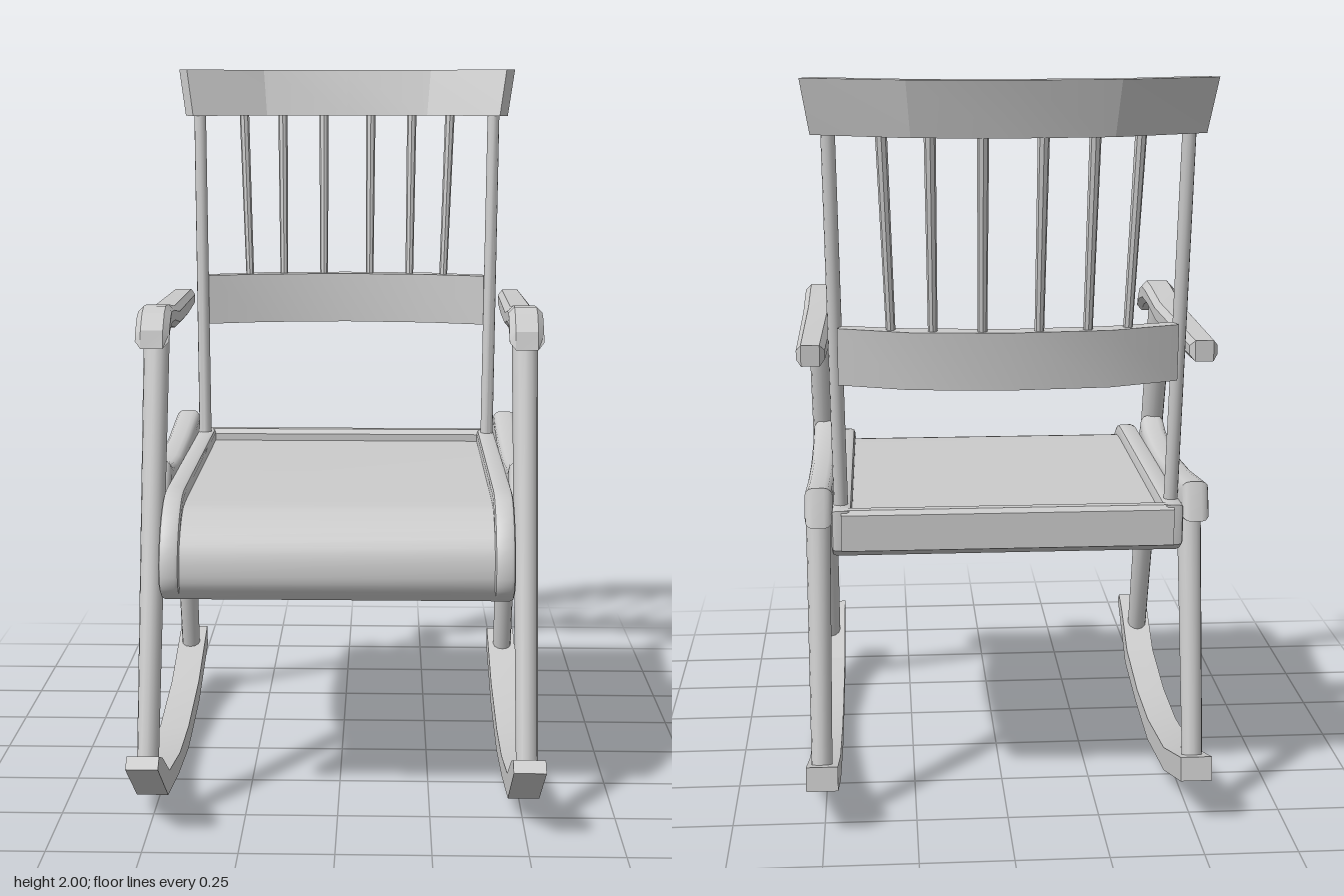
import * as THREE from 'three';
import { toCreasedNormals } from 'three/addons/utils/BufferGeometryUtils.js';

const material = new THREE.MeshStandardMaterial({ color: 0xcccccc });
const UP = new THREE.Vector3(0, 1, 0);

function addMesh(parent, name, geometry, crease = 0.6) {
  const mesh = new THREE.Mesh(toCreasedNormals(geometry, crease), material);
  mesh.name = name;
  parent.add(mesh);
  return mesh;
}

const toShape = (points) => new THREE.Shape(points.map(([a, b]) => new THREE.Vector2(a, b)));

// Extrudes a [z, y] outline across x, from x0 to x1, with bevelled edges kept inside the outline
function sideProfile(points, x0, x1, bevel = 0, bevelSegments = 1) {
  const geometry = new THREE.ExtrudeGeometry(toShape(points), {
    depth: x1 - x0 - 2 * bevel, bevelEnabled: bevel > 0,
    bevelSize: bevel, bevelThickness: bevel, bevelOffset: -bevel, bevelSegments,
  });
  return geometry.rotateY(-Math.PI / 2).translate(x1 - bevel, 0, 0);
}

// Round rod between two points
function rod(from, to, rFrom, rTo, sides = 12) {
  const a = new THREE.Vector3(...from), b = new THREE.Vector3(...to);
  const dir = b.clone().sub(a);
  const geometry = new THREE.CylinderGeometry(rTo, rFrom, dir.length(), sides);
  geometry.applyQuaternion(new THREE.Quaternion().setFromUnitVectors(UP, dir.normalize()));
  return geometry.translate(...a.add(b).multiplyScalar(0.5).toArray());
}

// Bowed back rail: mirrored [x, z] half outlines extruded upward and leaning back with height
function bowedRail(inner, outer, y0, y1, lean, flare) {
  const mirror = (half) => [
    ...half.slice(1).reverse().map(([x, z]) => [-x, z]), ...half,
  ];
  const outline = [...mirror(inner), ...mirror(outer).reverse()];
  const geometry = new THREE.ExtrudeGeometry(toShape(outline), { depth: y1 - y0, bevelEnabled: false });
  geometry.rotateX(Math.PI / 2).translate(0, y1, 0);
  const p = geometry.attributes.position;
  for (let i = 0; i < p.count; i++) {
    const t = (p.getY(i) - y0) / (y1 - y0);
    p.setZ(i, p.getZ(i) - lean * t);
    p.setX(i, p.getX(i) * (1 + flare * t));
  }
  return geometry;
}

const rockerOutline = [
  [0.7, 0.205], [0.67, 0.23], [0.6, 0.2], [0.46, 0.11], [0.22, 0.068], [0, 0.065], [-0.3, 0.105], [-0.58, 0.2],
  [-0.59, 0.135], [-0.31, 0.04], [0, 0], [0.25, 0.018], [0.5, 0.055],
];
const armOutline = [
  [0.36, 1.257], [0.35, 1.305], [0.31, 1.347], [0.27, 1.362], [0.2, 1.358], [0.035, 1.335], [-0.495, 1.325],
  [-0.495, 1.27], [-0.23, 1.265], [0.03, 1.272], [0.17, 1.295], [0.25, 1.3], [0.31, 1.285],
];
const braceOutline = [
  [0.29, 0.94], [0.225, 0.915], [0.11, 0.9], [0, 0.895], [-0.23, 0.91], [-0.48, 0.942],
  [-0.51, 0.84], [-0.26, 0.795], [0, 0.78], [0.19, 0.795], [0.34, 0.842],
];

// Seat outline with a rolled front; the inset lowers the top and pulls back the front
function seatOutline(drop, pull) {
  const roll = new THREE.SplineCurve([
    [0.36, 0.884 - drop], [0.41, 0.882 - drop], [0.465 - pull / 2, 0.868 - drop * 0.8], [0.53 - pull, 0.82 - drop * 0.4],
    [0.573 - pull, 0.75], [0.583 - pull, 0.68], [0.57 - pull, 0.645],
  ].map(([a, b]) => new THREE.Vector2(a, b))).getPoints(16).map((v) => [v.x, v.y]);
  const under = new THREE.SplineCurve([
    [0.53, 0.615], [0.495, 0.65], [0.46, 0.72], [0.43, 0.743], [0.39, 0.75],
  ].map(([a, b]) => new THREE.Vector2(a, b))).getPoints(10).map((v) => [v.x, v.y]);
  return [[-0.5, 0.884 - drop], ...roll, ...under, [-0.46, 0.75], [-0.5, 0.775]];
}

export function createModel() {
  const group = new THREE.Group();
  group.name = 'rockingChair';

  // Seat panel and raised back edge
  addMesh(group, 'seatPanel', sideProfile(seatOutline(0.035, 0.012), -0.43, 0.43));
  addMesh(group, 'seatBackEdge', sideProfile(
    [[-0.505, 0.775], [-0.505, 0.872], [-0.495, 0.884], [-0.472, 0.884], [-0.46, 0.87], [-0.46, 0.775]], -0.44, 0.44));

  // Parts repeated on both sides
  for (const s of [1, -1]) {
    const side = new THREE.Group();
    side.name = s > 0 ? 'leftSide' : 'rightSide';
    group.add(side);
    const span = (a, b) => (s > 0 ? [a, b] : [-b, -a]);

    addMesh(side, 'rocker', sideProfile(rockerOutline, ...span(0.46, 0.545)), 0.3);
    addMesh(side, 'seatSideEdge', sideProfile(seatOutline(0, 0), ...span(0.412, 0.466), 0.012, 2));
    addMesh(side, 'seatBrace', sideProfile(braceOutline, ...span(0.462, 0.535), 0.022, 3));

    // Armrest, narrowing slightly on the inside toward the back
    const arm = sideProfile(armOutline, ...span(0.455, 0.547), 0.016, 1);
    const p = arm.attributes.position;
    for (let i = 0; i < p.count; i++) {
      const t = THREE.MathUtils.clamp((0.3 - p.getZ(i)) / 0.8, 0, 1);
      p.setX(i, s * (0.547 + (Math.abs(p.getX(i)) - 0.547) * (1 - 0.2 * t)));
    }
    addMesh(side, 'armrest', arm, 0.4);

    addMesh(side, 'frontLeg', rod([s * 0.505, 0.13, 0.572], [s * 0.505, 1.31, 0.202], 0.029, 0.036));
    addMesh(side, 'backLeg', rod([s * 0.505, 0.15, -0.505], [s * 0.505, 0.84, -0.35], 0.028, 0.033));
    addMesh(side, 'backPost', rod([s * 0.44, 0.8, -0.422], [s * 0.453, 1.9, -0.516], 0.019, 0.018));

    // Spindles: bottom x, bottom z, top x, top z
    for (const [xb, zb, xt, zt] of [
      [0.072, -0.563, 0.074, -0.645], [0.197, -0.55, 0.203, -0.625], [0.302, -0.525, 0.322, -0.583],
    ]) {
      addMesh(side, 'spindle', rod([s * xb, 1.33, zb], [s * xt, 1.9, zt], 0.012, 0.015, 8));
    }
  }

  // Bowed back rails
  addMesh(group, 'topRail', bowedRail(
    [[0, -0.607], [0.25, -0.582], [0.47, -0.472]], [[0, -0.664], [0.25, -0.638], [0.497, -0.518]],
    1.86, 2, 0.034, 0.045), 0.3);
  addMesh(group, 'lowerRail', bowedRail(
    [[0, -0.53], [0.255, -0.505], [0.427, -0.457]], [[0, -0.586], [0.255, -0.565], [0.44, -0.495]],
    1.22, 1.37, 0.01, 0), 0.3);

  return group;
}
